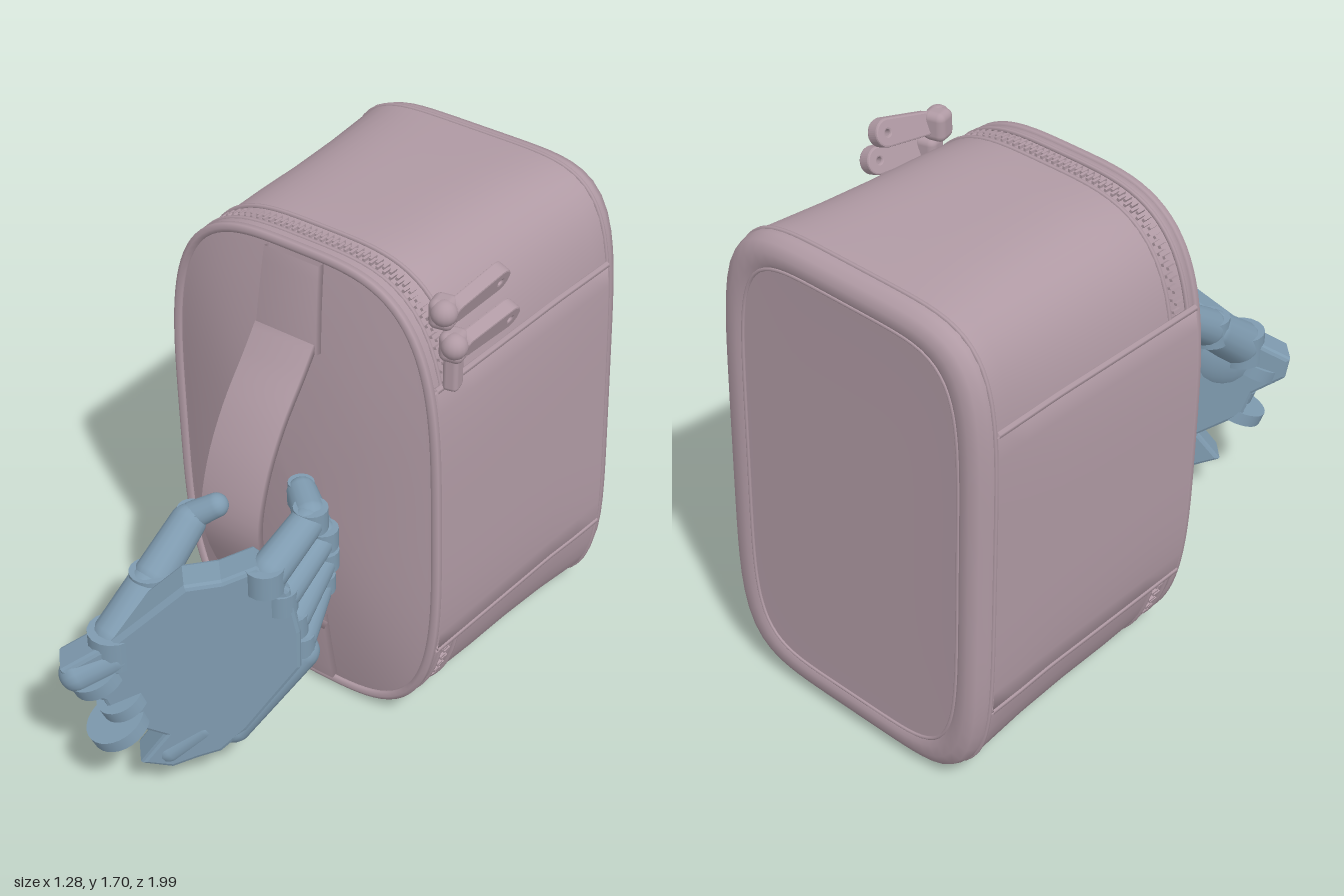
import * as THREE from 'three';
import { mergeGeometries } from 'three/addons/utils/BufferGeometryUtils.js';
import { RoundedBoxGeometry } from 'three/addons/geometries/RoundedBoxGeometry.js';

const fabric = new THREE.MeshStandardMaterial({ color: 0xb09aa4, side: THREE.DoubleSide });
const steel = new THREE.MeshStandardMaterial({ color: 0x7f9bb0 });
const V = (x, y, z) => new THREE.Vector3(x, y, z);
const W = 0.535, H = 0.845, MID = 0.85, FRONT = 0.485, BULGE = 0.08;

function add(parent, name, geometry, material) {
  const mesh = new THREE.Mesh(geometry, material);
  mesh.name = name;
  parent.add(mesh);
  return mesh;
}

// Point on the soft rectangular outline of the bag, squarer and a little lower at the back
function outline(t, z, inset = 0, scale = 1) {
  const back = Math.max(0, -z - 0.15);
  const n = 3.9 - z * 0.7 + back * 3.5, c = Math.cos(t), s = Math.sin(t);
  const r = scale / Math.pow(Math.abs(c) ** n + Math.abs(s) ** n, 1 / n);
  return V((W - inset) * c * r, MID + (H - inset - back * 0.04) * s * r, z);
}

const ring = (z, inset, scale, count = 96) =>
  Array.from({ length: count }, (_, i) => outline(i / count * Math.PI * 2, z, inset, scale));

// Skin over closed rings of equal length
function loft(rings) {
  const n = rings[0].length, index = [];
  for (let i = 0; i < rings.length - 1; i++) for (let j = 0; j < n; j++) {
    const k = (j + 1) % n, a = i * n + j, b = i * n + k, c = b + n, d = a + n;
    index.push(a, b, c, a, c, d);
  }
  const g = new THREE.BufferGeometry().setFromPoints(rings.flat());
  g.setIndex(index);
  g.computeVertexNormals();
  return g;
}

const tube = (points, radius, closed = false) => new THREE.TubeGeometry(
  new THREE.CatmullRomCurve3(points, closed), points.length * 2, radius, 6, closed);

// Flat strip in the y-z plane; each point is [y, z, half width]
function ribbon(points, thick) {
  return loft(points.map(([y, z, w], i) => {
    const p = points[Math.max(i - 1, 0)], q = points[Math.min(i + 1, points.length - 1)];
    const l = Math.hypot(q[0] - p[0], q[1] - p[1]);
    const ny = (q[1] - p[1]) / l * thick, nz = -(q[0] - p[0]) / l * thick;
    return [V(-w, y, z), V(w, y, z), V(w, y + ny, z + nz), V(-w, y + ny, z + nz)];
  }));
}

// Depth of the bulging front panel on its centre line
const frontZ = y => FRONT + BULGE * (1 - ((y - MID) / H) ** 2);

function buildBag() {
  const bag = new THREE.Group();
  bag.name = 'bag';

  // Body: recessed back panel, rolled rim, straight sides, zip band, domed front
  const profile = [[-0.482, 0.1, 0.001], [-0.482, 0.1, 0.5], [-0.482, 0.1], [-0.485, 0.088], [-0.494, 0.075],
    [-0.495, 0.045], [-0.48, 0.016], [-0.45, 0.005], [-0.41, 0.003], [-0.36, 0.004], [-0.2, 0.003], [0, 0.003],
    [0.2, 0.002], [0.355, 0.004], [0.365, 0.012], [0.435, 0.012], [0.445, 0.004], [0.48, 0.008], [FRONT, 0.03]];
  const rings = profile.map(([z, inset, scale = 1]) => ring(z, inset, scale));
  for (const s of [0.97, 0.9, 0.8, 0.65, 0.5, 0.3, 0.15, 0.001]) {
    const z = FRONT + BULGE * (1 - s * s);
    rings.push(ring(FRONT, 0.03, s).map(p => p.setZ(z)));
  }
  add(bag, 'body', loft(rings), fabric);

  // Piping and stitched seams round the bag
  for (const [name, z, inset, r] of [['frontPiping', 0.483, 0.014, 0.017], ['frontZipEdge', 0.44, 0.006, 0.008],
    ['rearZipEdge', 0.355, 0.005, 0.008], ['backPiping', -0.425, 0.005, 0.008], ['backPanelSeam', -0.484, 0.094, 0.006]])
    add(bag, name, tube(ring(z, inset, 1, 72), r, true), fabric);

  // Zip teeth over the top and bottom
  const teeth = [];
  for (let i = 0; i < 300; i++) {
    const t = i / 300 * Math.PI * 2, p = outline(t, 0.4, 0.009);
    if (Math.abs(p.y - MID) < 0.5) continue;
    const q = outline(t + 0.01, 0.4, 0.009);
    const g = new THREE.BoxGeometry(0.009, 0.014, 0.03);
    g.rotateZ(Math.atan2(q.y - p.y, q.x - p.x));
    teeth.push(g.translate(p.x, p.y, p.z + (i % 2 ? 0.008 : -0.008)));
  }
  add(bag, 'zipTeeth', mergeGeometries(teeth), fabric);

  // Side panels covering the zip band, with a seam along the top and bottom
  const stations = [-0.42, -0.3, -0.15, 0, 0.15, 0.3, 0.47];
  for (const middle of [0, Math.PI]) {
    const arc = (z, inset) => Array.from({ length: 15 }, (_, i) => outline(middle + (i / 7 - 1) * 0.56, z, inset));
    add(bag, 'sidePanel', loft(stations.map(z => [...arc(z, -0.004), ...arc(z, 0.02).reverse()])), fabric);
    for (const t of [-0.56, 0.56])
      add(bag, 'sideSeam', tube(stations.map(z => outline(middle + t, z, 0)), 0.011), fabric);
  }

  // Strap with its stitched end patches
  const patch = (y0, y1, w0, w1) => ribbon(Array.from({ length: 7 }, (_, i) => {
    const y = y0 + (y1 - y0) * i / 6;
    return [y, frontZ(y) - 0.008, w0 + (w1 - w0) * i / 6];
  }), -0.03);
  add(bag, 'upperStrapPatch', patch(1.37, 1.66, 0.12, 0.105), fabric);
  add(bag, 'lowerStrapPatch', patch(0.05, 0.34, 0.105, 0.11), fabric);
  const arc = new THREE.CatmullRomCurve3([[1.4, 0.54], [1.32, 0.6], [1.18, 0.71], [1.02, 0.795], [0.85, 0.835],
    [0.68, 0.795], [0.52, 0.71], [0.38, 0.6], [0.31, 0.54]].map(([y, z]) => V(0, y, z)));
  add(bag, 'strap', ribbon(arc.getPoints(32).map(p => [p.y, p.z, 0.115]), 0.025), fabric);

  // The bag is turned and leans slightly to one side
  bag.rotation.set(0, -0.24, 0.03);
  bag.position.set(0.022, 0, -0.4);
  return bag;
}

// Slider and flat pull tab with an eyelet
function buildZipPull(from, to) {
  const pull = new THREE.Group();
  pull.name = 'zipPull';
  const len = from.distanceTo(to), r = 0.04;
  const shape = new THREE.Shape();
  shape.absarc(0, len - r, r, 0, Math.PI, false);
  shape.absarc(0, r, r * 0.8, Math.PI, Math.PI * 2, false);
  const hole = new THREE.Path();
  hole.absarc(0, len - r, 0.016, 0, Math.PI * 2, true);
  shape.holes.push(hole);
  const g = new THREE.ExtrudeGeometry(shape, { depth: 0.035, bevelSize: 0.006, bevelThickness: 0.006, bevelSegments: 2 });
  g.translate(0, 0, -0.0175).rotateY(Math.PI / 2);
  const tab = add(pull, 'pullTab', g, fabric);
  tab.position.copy(from);
  tab.quaternion.setFromUnitVectors(V(0, 1, 0), to.clone().sub(from).normalize());
  const slider = add(pull, 'slider', new RoundedBoxGeometry(0.08, 0.1, 0.08, 3, 0.025), fabric);
  slider.position.copy(from).add(V(-0.02, 0, -0.01));
  const knob = add(pull, 'sliderKnob', new THREE.SphereGeometry(0.042, 16, 12), fabric);
  knob.position.copy(from).add(V(-0.01, 0.01, 0.01));
  return pull;
}

function buildHand() {
  const hand = new THREE.Group();
  hand.name = 'mechanicalHand';

  // Palm plate
  const outlinePoints = [[-0.59, 0.57], [-0.44, 0.66], [-0.21, 0.86], [-0.1, 0.87], [0, 0.91], [0.09, 0.82], [0.12, 0.66],
    [0.12, 0.52], [-0.05, 0.28], [-0.13, 0.2], [-0.2, 0.18], [-0.28, 0.15], [-0.36, 0.17], [-0.28, 0.28], [-0.44, 0.36],
    [-0.47, 0.45], [-0.58, 0.51]];
  const shape = new THREE.Shape(outlinePoints.map(([x, y]) => new THREE.Vector2(x, y)));
  const palm = add(hand, 'palm', new THREE.ExtrudeGeometry(shape,
    { depth: 0.09, bevelSize: 0.015, bevelThickness: 0.015, bevelSegments: 2 }).translate(0, 0, -0.105), steel);
  palm.position.z = 0.66;
  palm.rotation.y = 0.55;

  // Rounded bar between two points, slimmer towards its end
  const bar = (name, a, b, r, taper = 1) => {
    const len = a.distanceTo(b), end = r * taper;
    const profile = new THREE.Path();
    profile.absarc(0, 0, r, -Math.PI / 2, 0, false);
    profile.absarc(0, len, end, 0, Math.PI / 2, false);
    const m = add(hand, name, new THREE.LatheGeometry(profile.getPoints(6), 16), steel);
    m.position.copy(a);
    m.quaternion.setFromUnitVectors(V(0, 1, 0), b.clone().sub(a).normalize());
  };
  // Chain of bars with a pin at every joint
  const digit = (name, points, radii) => {
    const p = points.map(q => V(...q));
    for (let i = 0; i < p.length - 1; i++) {
      const gap = p[i + 1].clone().sub(p[i]).multiplyScalar(0.1);
      bar(name + 'Segment', p[i].clone().add(gap), p[i + 1].clone().sub(gap), radii[i], 0.88);
      const pin = add(hand, name + 'Joint', new THREE.CylinderGeometry(radii[i], radii[i], radii[i] * 1.4, 16), steel);
      pin.position.copy(p[i]);
    }
  };
  digit('indexFinger', [[0.01, 0.87, 0.62], [0.06, 0.96, 0.4], [-0.02, 0.97, 0.3], [-0.04, 0.9, 0.28]], [0.062, 0.055, 0.042]);
  digit('middleFinger', [[0.04, 0.77, 0.58], [0.09, 0.88, 0.38], [0.01, 0.88, 0.29], [0, 0.81, 0.28]], [0.056, 0.05, 0.042]);
  digit('ringFinger', [[0.06, 0.66, 0.55], [0.09, 0.79, 0.37], [0.03, 0.77, 0.28], [0, 0.7, 0.28]], [0.055, 0.048, 0.042]);
  digit('littleFinger', [[0.07, 0.55, 0.51], [0.08, 0.69, 0.37], [0.03, 0.68, 0.29], [0, 0.64, 0.28]], [0.05, 0.045, 0.04]);
  digit('thumb', [[-0.41, 0.62, 0.83], [-0.36, 0.76, 0.67], [-0.31, 0.9, 0.48], [-0.23, 0.95, 0.45]], [0.08, 0.066, 0.045]);

  // Bar along the palm behind the little finger, and the pad under the thumb
  bar('littleFingerBar', V(-0.1, 0.25, 0.65), V(0.07, 0.5, 0.5), 0.062, 0.95);
  const pad = add(hand, 'thumbPad', new THREE.SphereGeometry(1, 20, 14), steel);
  pad.scale.set(0.13, 0.13, 0.06);
  pad.position.set(-0.36, 0.58, 0.79);
  pad.rotation.y = 0.55;

  // Wrist discs and prongs
  for (const [x, y, z, r] of [[-0.45, 0.52, 0.88, 0.09], [-0.39, 0.33, 0.87, 0.1], [-0.38, 0.42, 0.85, 0.08]]) {
    const disc = add(hand, 'wristDisc', new THREE.CylinderGeometry(r, r, 0.045, 28), steel);
    disc.position.set(x, y, z);
    disc.rotation.set(0.3, 0, 0.3);
  }
  bar('wristProng', V(-0.27, 0.19, 0.77), V(-0.18, 0.27, 0.71), 0.055);
  bar('wristProng', V(-0.49, 0.54, 0.92), V(-0.4, 0.59, 0.85), 0.06);
  return hand;
}

export function createModel() {
  const model = new THREE.Group();
  model.name = 'bagHeldByHand';
  model.add(buildBag(), buildHand(),
    buildZipPull(V(0.38, 1.62, 0.12), V(0.46, 1.66, -0.11)),
    buildZipPull(V(0.42, 1.52, 0.13), V(0.5, 1.545, -0.1)));
  const zipEnd = add(model, 'zipEnd', new RoundedBoxGeometry(0.05, 0.17, 0.06, 2, 0.015), fabric);
  zipEnd.position.set(0.4, 1.45, 0.12);
  return model;
}
